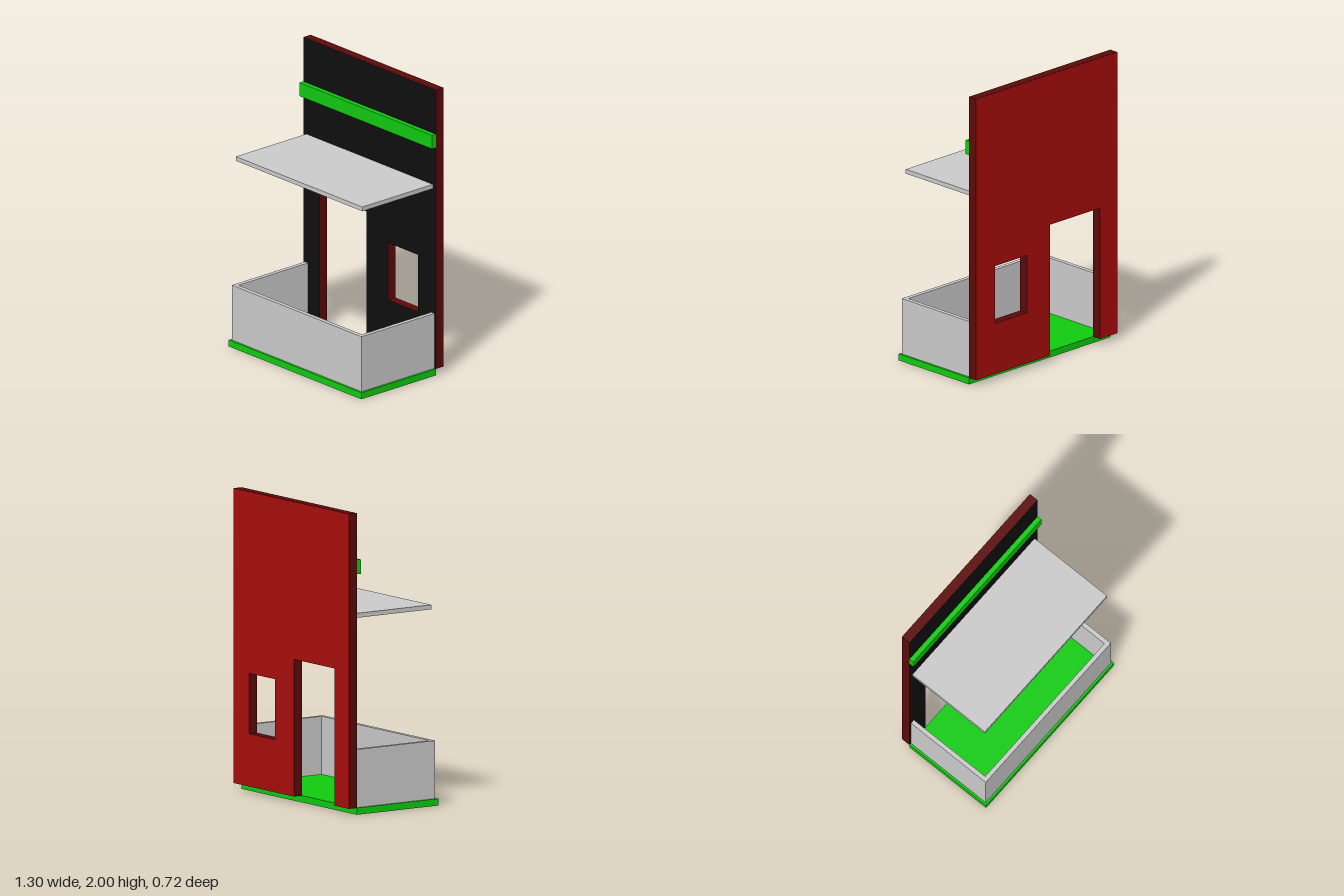
import * as THREE from 'three';

const grey = new THREE.MeshStandardMaterial({ color: 0xcccccc });
const green = new THREE.MeshStandardMaterial({ color: 0x11cc11 });
const red = new THREE.MeshStandardMaterial({ color: 0xaa0d0d });
const darkRed = new THREE.MeshStandardMaterial({ color: 0x5c0909 });
const black = new THREE.MeshStandardMaterial({ color: 0x0f0f0f });

const WALL_BACK = -0.36, WALL_FRONT = -0.295;

const polygon = (points) => points.map(([x, y]) => new THREE.Vector2(x, y));

// Box that starts at the wall face and reaches forward to zFront
function slab(name, halfWidth, y0, y1, zFront, material) {
  const depth = zFront - WALL_FRONT;
  const mesh = new THREE.Mesh(new THREE.BoxGeometry(halfWidth * 2, y1 - y0, depth), material);
  mesh.position.set(0, (y0 + y1) / 2, WALL_FRONT + depth / 2);
  mesh.name = name;
  return mesh;
}

// House wall with a doorway open at the bottom and a window
function buildWall() {
  const shape = new THREE.Shape(polygon([
    [-0.65, 0.045], [-0.49, 0.045], [-0.49, 0.955], [-0.03, 0.955],
    [-0.03, 0.045], [0.65, 0.045], [0.65, 2], [-0.65, 2],
  ]));
  shape.holes.push(new THREE.Path(polygon([
    [0.18, 0.395], [0.18, 0.795], [0.475, 0.795], [0.475, 0.395],
  ])));
  const geometry = new THREE.ExtrudeGeometry(shape, { depth: WALL_FRONT - WALL_BACK, bevelEnabled: false });

  // Split the lids so the back, front and edges each get their own colour
  const [lids, sides] = geometry.groups.map((g) => ({ ...g }));
  geometry.clearGroups();
  geometry.addGroup(0, lids.count / 2, 0);
  geometry.addGroup(lids.count / 2, lids.count / 2, 1);
  geometry.addGroup(sides.start, sides.count, 2);

  const wall = new THREE.Mesh(geometry, [red, black, darkRed]);
  wall.position.z = WALL_BACK;
  wall.name = 'wall';
  return wall;
}

// U-shaped balcony parapet, open towards the wall
function buildParapet() {
  const x = 0.635, front = 0.345, t = 0.03;
  const shape = new THREE.Shape(polygon([
    [-x, -front], [x, -front], [x, -WALL_FRONT], [x - t, -WALL_FRONT],
    [x - t, -front + t], [-x + t, -front + t], [-x + t, -WALL_FRONT], [-x, -WALL_FRONT],
  ]));
  const geometry = new THREE.ExtrudeGeometry(shape, { depth: 0.385, bevelEnabled: false });
  geometry.rotateX(-Math.PI / 2);
  const parapet = new THREE.Mesh(geometry, grey);
  parapet.position.y = 0.045;
  parapet.name = 'parapet';
  return parapet;
}

export function createModel() {
  const model = new THREE.Group();
  model.name = 'balcony';
  model.add(
    buildWall(),
    buildParapet(),
    slab('floorSlab', 0.65, 0, 0.045, 0.36, green),
    slab('canopy', 0.62, 1.3, 1.33, 0.325, grey),
    slab('trimBand', 0.65, 1.595, 1.69, -0.262, green),
  );
  return model;
}
